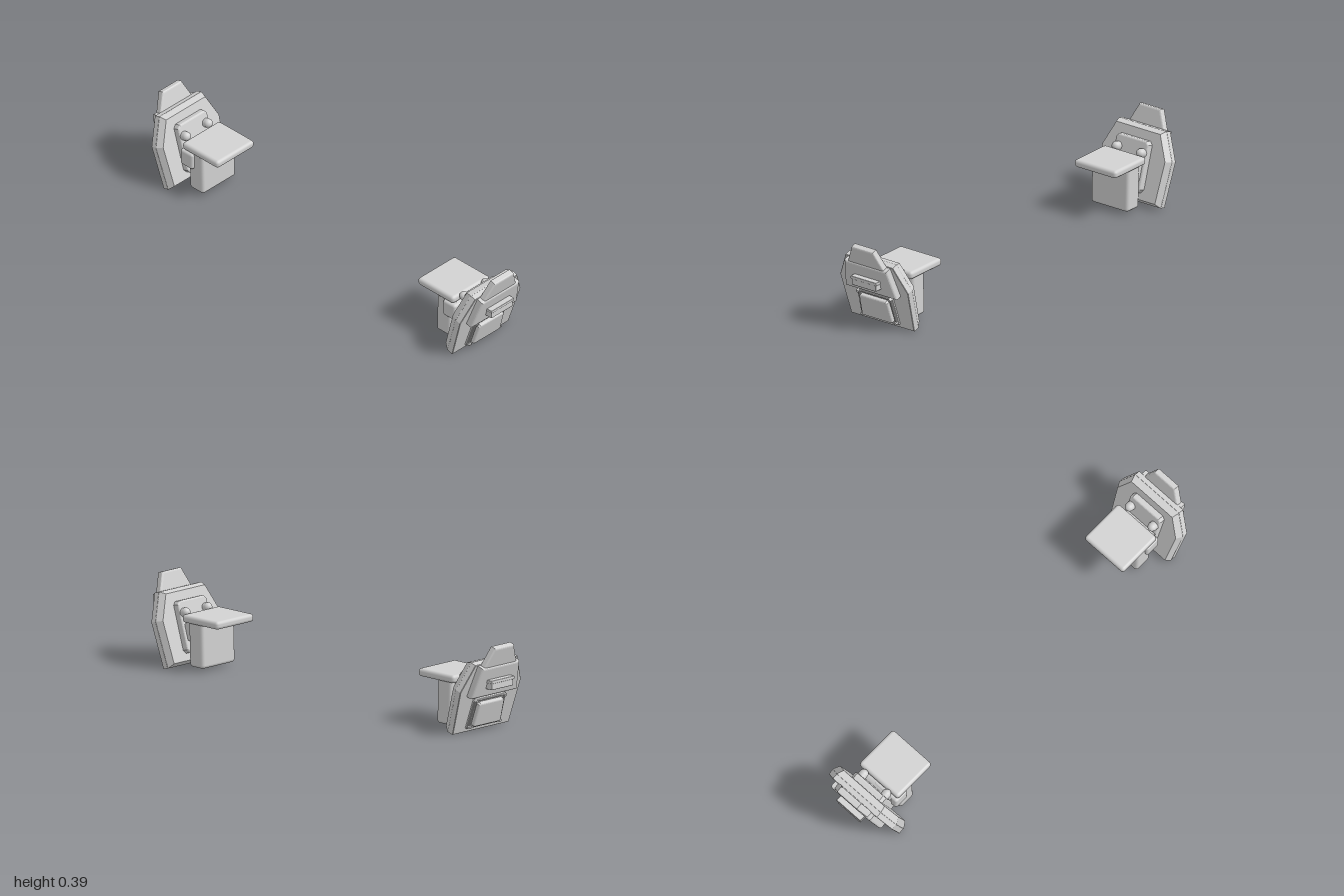
import * as THREE from 'three';
import { RoundedBoxGeometry } from 'three/addons/geometries/RoundedBoxGeometry.js';
import { toCreasedNormals } from 'three/addons/utils/BufferGeometryUtils.js';

const TILT = THREE.MathUtils.degToRad(17);

// Leans a part with the armour: x = outward depth, y = up the plate, z = width
const lean = (g) => g.rotateZ(-TILT).translate(0.856, 0, 0);

// Bevelled plate symmetric in z; half = [halfWidth, height] from bottom to top
function plate(half, n0, n1, bevel, { inset = bevel, segments = 1, hole } = {}) {
  const ring = (h) => [...h, ...h.slice().reverse().map(([w, u]) => [-w, u])]
    .map(([w, u]) => new THREE.Vector2(w, u));
  const shape = new THREE.Shape(ring(half));
  if (hole) shape.holes.push(new THREE.Path(ring(hole)));
  const g = new THREE.ExtrudeGeometry(shape, {
    depth: n1 - n0 - 2 * bevel, bevelEnabled: true, bevelSegments: segments,
    bevelSize: inset, bevelThickness: bevel, bevelOffset: -inset,
  });
  return lean(g.translate(0, 0, n0 + bevel).rotateY(Math.PI / 2));
}

function block(x0, x1, y0, y1, z0, z1, r = 0.01) {
  return new RoundedBoxGeometry(x1 - x0, y1 - y0, z1 - z0, 2, r)
    .translate((x0 + x1) / 2, (y0 + y1) / 2, (z0 + z1) / 2);
}

// Mirrors a geometry across x and restores the corner order
function mirrored(geometry) {
  const g = geometry.index ? geometry.toNonIndexed() : geometry.clone();
  g.scale(-1, 1, 1);
  for (const a of Object.values(g.attributes)) {
    const n = a.itemSize;
    for (let i = 0; i < a.count; i += 3) {
      for (let k = 0; k < n; k++) {
        const p = (i + 1) * n + k, q = (i + 2) * n + k;
        [a.array[p], a.array[q]] = [a.array[q], a.array[p]];
      }
    }
  }
  return g;
}

export function createModel() {
  const model = new THREE.Group();
  const grey = new THREE.MeshStandardMaterial({ color: 0xd2d2d2 });
  grey.name = 'lightGrey';
  const parts = [];
  const add = (name, g) => parts.push([name, g]);

  // Armour shell with a chamfered inner side
  const outline = [[0.17, 0], [0.183, 0.204], [0.127, 0.324]];
  add('mainPlate', plate(outline, -0.029, 0, 0.002));
  add('innerPlate', plate(outline, -0.058, -0.002, 0.027, { inset: 0.014 }));
  add('topFin', plate([[0.108, 0.285], [0.1, 0.31], [0.057, 0.404]], -0.004, 0.027, 0.006,
    { inset: 0.009, segments: 3 }));
  add('upperPanel', plate([[0.138, 0.178], [0.113, 0.32]], -0.01, 0.032, 0.01, { segments: 3 }));

  // Ledge bar on the upper panel
  add('ledgeBar', block(0.935, 0.99, 0.226, 0.24, -0.069, 0.069, 0.003));
  add('ledgeSupport', block(0.93, 0.986, 0.198, 0.23, -0.065, 0.065, 0.003));

  // Framed lower panel with corner studs
  add('lowerPanelBase', plate([[0.1, 0.02], [0.092, 0.164]], -0.01, 0.012, 0.005));
  add('lowerPanel', plate([[0.076, 0.034], [0.083, 0.041], [0.076, 0.138], [0.068, 0.146]],
    0, 0.03, 0.008, { segments: 3 }));
  add('lowerFrame', plate([[0.097, 0.024], [0.09, 0.16]], 0, 0.017, 0.003,
    { hole: [[0.086, 0.033], [0.079, 0.151]] }));
  for (const s of [-1, 1]) {
    for (const [w, u] of [[0.09, 0.032], [0.086, 0.155]]) {
      add('cornerStud', lean(new THREE.CylinderGeometry(0.007, 0.008, 0.022, 14)
        .rotateZ(-Math.PI / 2).translate(0.011, u, s * w)));
    }
  }

  // Mounting pad on the inside with two rounded lugs
  add('mountPad', plate([[0.075, 0.045], [0.088, 0.06], [0.088, 0.255], [0.075, 0.27]],
    -0.086, -0.045, 0.008, { segments: 3 }));
  for (const s of [-1, 1]) {
    add('mountLug', new THREE.CapsuleGeometry(0.02, 0.03, 6, 14)
      .rotateZ(Math.PI / 2 - 0.3).translate(0.838, 0.232, s * 0.066));
  }

  // Hinge joining the armour to the arm
  add('hingeBlock', block(0.742, 0.815, 0.122, 0.2, -0.02, 0.114, 0.012));
  add('hingeBarrel', toCreasedNormals(new THREE.CylinderGeometry(0.044, 0.044, 0.16, 28)
    .rotateX(Math.PI / 2).translate(0.785, 0.16, 0.005), 0.6));

  // Upper arm housing, leaning slightly, with its cover slab
  const arm = block(0.69, 0.772, 0.014, 0.215, -0.1, 0.1, 0.014);
  const p = arm.attributes.position;
  for (let i = 0; i < p.count; i++) {
    p.setX(i, p.getX(i) + 0.03 * (p.getY(i) - 0.014));
  }
  add('armHousing', arm);
  add('coverSlab', block(0.592, 0.804, 0.203, 0.238, -0.113, 0.113, 0.014));

  for (const side of ['left', 'right']) {
    const pad = new THREE.Group();
    pad.name = side + 'Shoulder';
    for (const [name, g] of parts) {
      const mesh = new THREE.Mesh(side === 'left' ? g : mirrored(g), grey);
      mesh.name = name;
      pad.add(mesh);
    }
    model.add(pad);
  }
  return model;
}
